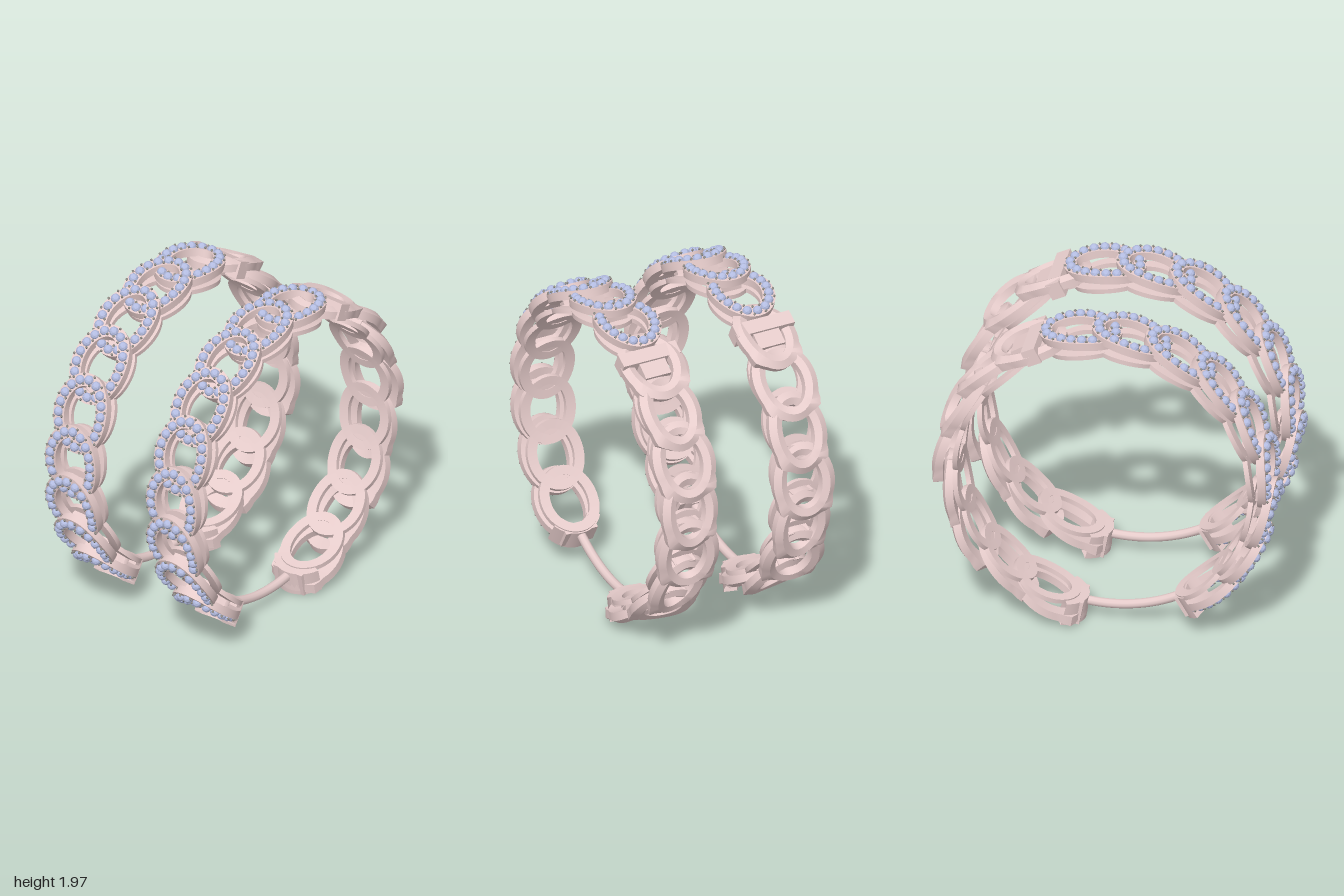
import * as THREE from 'three';
import { mergeGeometries, toCreasedNormals } from 'three/addons/utils/BufferGeometryUtils.js';

const CY = 0.98, RAD = Math.PI / 180, PITCH = 18.4;
const LA = 0.197, LB = 0.143; // half length and half width of a link's centreline

// Wraps (along, across, radius) around the hoop at an angle measured from the front upwards
function wrap(deg, a, b, r) {
  const th = deg * RAD + a / 0.93;
  return new THREE.Vector3(b, CY + r * Math.sin(th), r * Math.cos(th));
}

// Point on a link's oval: t around it, n outwards from its centreline, h above its mid radius
function onLink(o, t, n, h) {
  const c = Math.cos(t), s = Math.sin(t);
  const nl = Math.hypot(c * LB, s * LA);
  const a = LA * c + n * c * LB / nl, b = LB * s + n * s * LA / nl;
  return wrap(o.deg, a, b, o.r + h + (o.tilt || 0) * c + (o.twist || 0) * s);
}

// Sweeps a cross-section [n, h] around the oval, or along a part of it
function sweepOval(o, section, t0 = 0, t1 = Math.PI * 2, steps = 40) {
  const pos = [], idx = [], m = section.length;
  for (let i = 0; i <= steps; i++) {
    const t = t0 + (t1 - t0) * i / steps;
    const toCusp = Math.min(Math.abs(t - 0.8), Math.abs(t - Math.PI * 2 + 0.8));
    const cusp = (o.cusp || 0) * Math.max(0, 1 - toCusp / 0.3);
    section.forEach(([n, h]) => {
      const p = onLink(o, t, n + (n > 0 ? cusp : 0), h + (n > 0 && h > 0 ? cusp * 0.6 : 0));
      pos.push(p.x, p.y, p.z);
    });
  }
  for (let i = 0; i < steps; i++) {
    for (let j = 0; j < m; j++) {
      const k = (j + 1) % m, A = i * m + j, B = i * m + k;
      idx.push(A, B, B + m, A, B + m, A + m);
    }
  }
  const g = new THREE.BufferGeometry();
  g.setAttribute('position', new THREE.Float32BufferAttribute(pos, 3));
  g.setIndex(idx);
  return toCreasedNormals(g, 0.6);
}

const rect = (w, h0, h1) => [[-w, h0], [w, h0], [w, h1], [-w, h1]];

// Box standing on the hoop, from radius r0 to r1; no uv, so that it merges with the sweeps
function block(deg, width, arc, r0, r1) {
  const g = new THREE.BoxGeometry(width, arc, r1 - r0).toNonIndexed();
  g.deleteAttribute('uv');
  g.rotateX(-deg * RAD);
  const p = wrap(deg, 0, 0, (r0 + r1) / 2);
  return g.translate(p.x, p.y, p.z);
}

function makeHoop(side) {
  const hoop = new THREE.Group();
  const metal = new THREE.MeshStandardMaterial({ color: 0xe6cccb, side: THREE.DoubleSide });
  const gemMat = new THREE.MeshStandardMaterial({ color: 0xb4bde2, flatShading: true });
  const beadMat = new THREE.MeshStandardMaterial({ color: 0x8d8a84, flatShading: true });
  const add = (name, geos, mat = metal) => {
    const mesh = new THREE.Mesh(mergeGeometries(geos), mat);
    mesh.name = name;
    hoop.add(mesh);
  };
  const links = [], plain = [], gallery = [], posts = [], gems = [], beads = [];

  // Front: shingled links paved with stones
  for (let k = 0; k < 9; k++) {
    const o = { deg: 99.2 - k * PITCH, r: 0.92, tilt: 0.022 };
    links.push(sweepOval(o, rect(0.037, -0.022, 0.026)));
    // parameters evenly spaced by arc length
    const ring = new THREE.EllipseCurve(0, 0, LA, LB).getSpacedPoints(18);
    for (let i = 0; i < 18; i++) {
      const t = Math.atan2(ring[i].y / LB, ring[i].x / LA);
      const p = onLink(o, t, 0, 0.026);
      gems.push(new THREE.IcosahedronGeometry(0.028, 1).translate(p.x, p.y, p.z));
      const mid = t + Math.PI / 18;
      for (const n of [-0.026, 0.028]) {
        const q = onLink(o, mid, n, 0.034);
        beads.push(new THREE.OctahedronGeometry(0.01).translate(q.x, q.y, q.z));
      }
    }
  }

  // Back: plain twisted links with a ridged section and sharp shoulders
  const ridged = [[-0.042, -0.03], [0.037, -0.035], [0.04, 0.012], [0.0, 0.034], [-0.04, 0.016]];
  for (let k = 0; k < 8; k++) {
    const o = { deg: 119.6 + k * PITCH, r: 0.92, tilt: 0.024, twist: 0.018 * side * (k % 2 ? 1 : -1), cusp: 0.024 };
    plain.push(sweepOval(o, ridged));
  }

  // Inner gallery ovals below every link, tied to the chain at each overlap
  for (let k = 0; k < 17; k++) {
    const deg = -48 + k * PITCH - (k > 8 ? 1 : 0);
    if (k !== 9) gallery.push(sweepOval({ deg, r: 0.845 }, rect(0.03, -0.014, 0.014)));
    if (k < 16) posts.push(block(deg + PITCH / 2, 0.13, 0.055, 0.835, 0.91));
  }

  // Hinge across the top and the two ends of the opening
  add('hinge', [
    block(116.5, 0.36, 0.085, 0.855, 0.955),
    block(112, 0.2, 0.08, 0.85, 0.91),
    block(122, 0.16, 0.1, 0.85, 0.94),
  ]);
  const wall = rect(0.038, -0.075, 0.07);
  add('frontEndCap', [
    sweepOval({ deg: -48, r: 0.915 }, wall, Math.PI - 0.9, Math.PI + 0.9, 16),
    block(-59.5, 0.2, 0.06, 0.84, 0.97),
  ]);
  add('backEndCap', [
    sweepOval({ deg: 248.4, r: 0.915 }, wall, -1, 1, 16),
    block(259.5, 0.2, 0.07, 0.84, 0.985),
  ]);

  // Curved post closing the opening
  const path = [];
  for (let d = -102; d <= -58; d += 4) path.push(wrap(d, 0, 0, 0.875));
  add('earPost', [new THREE.TubeGeometry(new THREE.CatmullRomCurve3(path), 24, 0.027, 10)]);

  add('frontLinks', links);
  add('backLinks', plain);
  add('innerGallery', gallery);
  add('galleryPosts', posts);
  add('stones', gems, gemMat);
  add('beadSettings', beads, beadMat);
  return hoop;
}

export function createModel() {
  const model = new THREE.Group();
  model.name = 'hoopEarrings';
  for (const side of [1, -1]) {
    const hoop = makeHoop(side);
    hoop.name = side > 0 ? 'leftHoop' : 'rightHoop';
    hoop.position.x = 0.36 * side;
    model.add(hoop);
  }
  return model;
}
